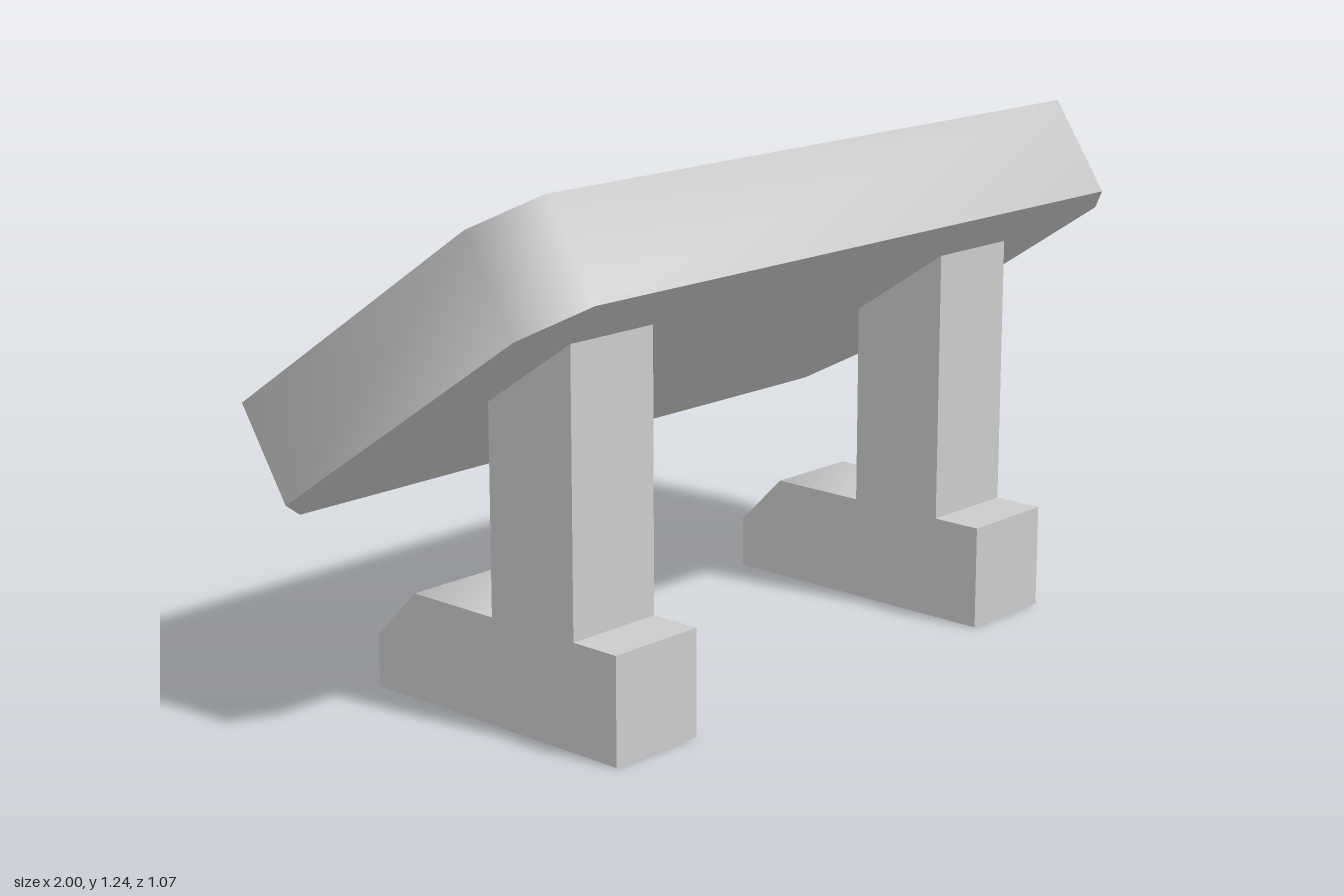
import * as THREE from 'three';
import { toCreasedNormals } from 'three/addons/utils/BufferGeometryUtils.js';

const material = new THREE.MeshStandardMaterial({ color: 0xcccccc });
const CREASE = THREE.MathUtils.degToRad(50);

// Rectangle with cut corners at height y, counter-clockwise seen from above
function chamferedLoop(hx, hz, cut, y) {
  return [
    [hx, hz - cut], [hx, cut - hz], [hx - cut, -hz], [cut - hx, -hz],
    [-hx, cut - hz], [-hx, hz - cut], [cut - hx, hz], [hx - cut, hz],
  ].map(([x, z]) => [x, y, z]);
}

// Skin stacked loops with quads and close both ends
function skinLoops(loops) {
  const n = loops[0].length;
  const last = (loops.length - 1) * n;
  const index = [];
  for (let k = 0; k < loops.length - 1; k++) {
    for (let j = 0; j < n; j++) {
      const a = k * n + j, b = k * n + (j + 1) % n;
      index.push(a, b, b + n, a, b + n, a + n);
    }
  }
  for (let j = 1; j < n - 1; j++) {
    index.push(0, j + 1, j, last, last + j, last + j + 1);
  }
  const geometry = new THREE.BufferGeometry();
  geometry.setAttribute('position', new THREE.Float32BufferAttribute(loops.flat(2), 3));
  geometry.setIndex(index);
  return toCreasedNormals(geometry, CREASE);
}

export function createModel() {
  const model = new THREE.Group();

  // Tilted tray: outer wall, rim, recess wall and floor
  const tray = new THREE.Mesh(skinLoops([
    chamferedLoop(1, 0.56, 0.125, -0.125),
    chamferedLoop(1, 0.56, 0.125, 0.125),
    chamferedLoop(0.875, 0.435, 0.053, 0.125),
    chamferedLoop(0.875, 0.435, 0.053, 0),
  ]), material);
  tray.name = 'tray';
  tray.position.y = 0.826;
  tray.rotation.x = -THREE.MathUtils.degToRad(33.5);
  model.add(tray);

  // Legs: one side profile (z, y) with post and chamfered foot
  const profile = new THREE.Shape([
    [0.465, 0], [0.465, 0.25], [0.34, 0.25], [0.34, 0.905], [0.09, 0.738],
    [0.09, 0.25], [-0.16, 0.25], [-0.285, 0.125], [-0.285, 0],
  ].map(([z, y]) => new THREE.Vector2(-z, y)));
  const legGeometry = toCreasedNormals(
    new THREE.ExtrudeGeometry(profile, { depth: 0.25, bevelEnabled: false })
      .translate(0, 0, -0.125).rotateY(Math.PI / 2), CREASE);
  for (const [name, x] of [['leftLeg', 0.625], ['rightLeg', -0.625]]) {
    const leg = new THREE.Mesh(legGeometry, material);
    leg.name = name;
    leg.position.x = x;
    model.add(leg);
  }

  return model;
}
